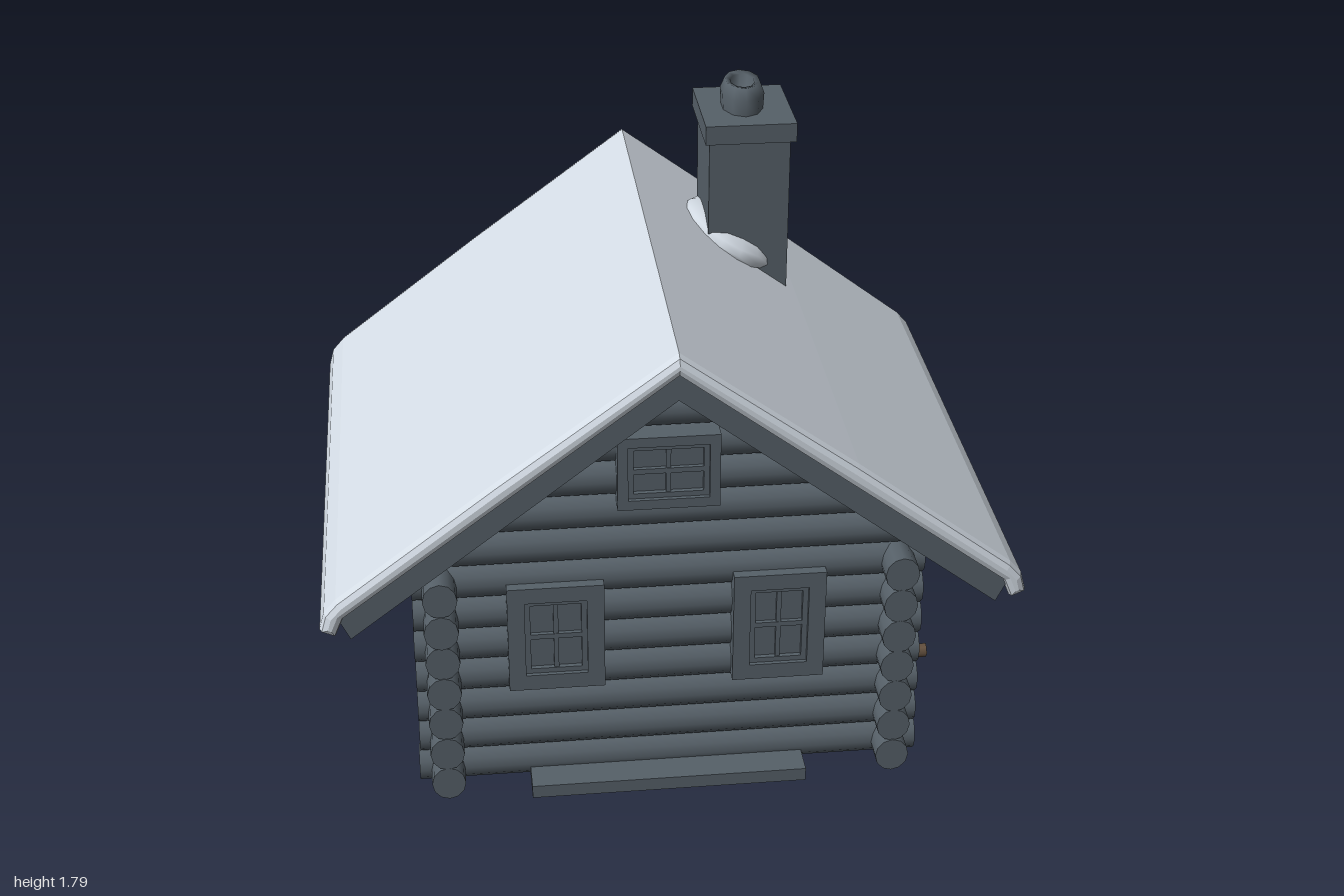
import * as THREE from 'three';

const mat = (name, color, side = THREE.FrontSide) => {
  const m = new THREE.MeshStandardMaterial({ color, side });
  m.name = name;
  return m;
};

export function createModel() {
  const house = new THREE.Group();
  house.name = 'logCabin';
  const timber = mat('slateTimber', 0x566068);
  const snow = mat('snow', 0xd3dbe4);
  const brown = mat('firewoodBrown', 0x64513f);

  let seed = 7;
  const rand = () => (seed = (seed * 16807) % 2147483647) / 2147483647;

  const add = (name, geo, material, parent = house) => {
    const m = new THREE.Mesh(geo, material);
    m.name = name;
    parent.add(m);
    return m;
  };
  const box = (name, material, x0, x1, y0, y1, z0, z1, parent) =>
    add(name, new THREE.BoxGeometry(x1 - x0, y1 - y0, z1 - z0)
      .translate((x0 + x1) / 2, (y0 + y1) / 2, (z0 + z1) / 2), material, parent);
  const shapeOf = pts => new THREE.Shape(pts.map(p => new THREE.Vector2(...p)));
  // Extrude half a profile mirrored in x, running from z0 to z1
  const mirrored = (outer, inner) => shapeOf([
    ...outer, ...inner,
    ...[...inner].reverse().filter(p => p[0] > 0).map(([x, y]) => [-x, y]),
    ...[...outer].reverse().filter(p => p[0] > 0).map(([x, y]) => [-x, y])]);
  const extrude = (shape, z0, z1, bevel = 0) => new THREE.ExtrudeGeometry(shape, {
    depth: z1 - z0 - 2 * bevel, bevelEnabled: bevel > 0, bevelThickness: bevel,
    bevelSize: bevel * 0.7, bevelOffset: -bevel * 0.7, bevelSegments: 2,
  }).translate(0, 0, z0 + bevel);

  // Wall core behind the logs
  const core = mirrored([[0, 1.38], [0.66, 0.88]], [[0.66, 0], [0, 0]]);
  add('wallCore', extrude(core, -0.65, 0.59), timber);

  // Stacked logs; the ends cross at the corners
  const pitch = 0.107, frontZ = 0.59, backZ = -0.65, sideX = 0.665;
  const logs = new THREE.Group();
  logs.name = 'logWalls';
  house.add(logs);
  const log = (name, length) => add(name,
    new THREE.CylinderGeometry(1, 1, length, 12).scale(0.056, 1, 0.05), timber, logs);
  for (let i = 0; i < 12; i++) {
    const y = 0.056 + i * pitch;
    const half = i < 7 ? 0.75 : (1.4 - y) / 0.77;
    for (const z of [frontZ, backZ]) {
      const l = log(z > 0 ? 'frontLog' : 'backLog', half * 2 - rand() * 0.012);
      l.rotation.z = Math.PI / 2;
      l.position.set(0, y, z);
    }
    if (i > 6) continue;
    for (const s of [-1, 1]) {
      const l = log('sideLog', 1.44 - rand() * 0.015);
      l.rotation.set(Math.PI / 2, 0, Math.PI / 2, 'YXZ');
      l.geometry.rotateY(Math.PI / 2);
      l.rotation.set(Math.PI / 2, 0, 0);
      l.geometry.rotateY(-Math.PI / 2);
      l.geometry.scale(0.05 / 0.056, 1, 0.056 / 0.05);
      l.position.set(s * sideX, y, -0.01);
    }
  }

  // Roof boards and the snow lying on them
  const boards = mirrored([[0, 1.46], [0.95, 0.73]], [[0.915, 0.655], [0, 1.36]]);
  add('roofBoards', extrude(boards, -0.805, 0.8), timber);
  const cover = mirrored(
    [[0, 1.5], [0.5, 1.13], [0.95, 0.785], [0.985, 0.745], [1, 0.69]],
    [[0.955, 0.67], [0.93, 0.73], [0, 1.435]]);
  add('roofSnow', extrude(cover, -0.828, 0.822, 0.03), snow);

  // Small icicles along both eaves
  for (const s of [-1, 1]) for (let i = 0; i < 12; i++) {
    const h = 0.025 + rand() * 0.03;
    const c = add('icicle', new THREE.ConeGeometry(0.014, h, 5).rotateX(Math.PI), snow);
    c.position.set(s * 0.97, 0.682 - h / 2 + 0.01, -0.76 + i * 0.138 + rand() * 0.03);
  }

  // Chimney with slab cap, hollow pot and a snow mound at its foot
  box('chimneyStack', timber, 0.22, 0.47, 1.1, 1.66, -0.575, -0.29);
  box('chimneyCap', timber, 0.205, 0.485, 1.65, 1.71, -0.6, -0.265);
  const potProfile = [[0.95, 1.7], [1, 1.76], [0.8, 1.795], [0.55, 1.79], [0.5, 1.73], [0, 1.73]];
  const pot = add('chimneyPot', new THREE.LatheGeometry(
    potProfile.map(p => new THREE.Vector2(...p)), 10).scale(0.068, 1, 0.105), timber);
  pot.position.set(0.338, 0, -0.435);
  const mound = add('chimneySnow', new THREE.SphereGeometry(1, 16, 10).scale(0.17, 0.065, 0.19), snow);
  mound.position.set(0.31, 1.285, -0.43);
  mound.rotation.z = -0.5;

  // Windows: frame with hole, sash, pane and glazing bars, facing +z
  const rectPts = (w, h) => [[-w, -h], [w, -h], [w, h], [-w, h]];
  const ring = (w, h, b, z0, z1) => {
    const s = shapeOf(rectPts(w / 2, h / 2));
    s.holes.push(shapeOf(rectPts(w / 2 - b, h / 2 - b).reverse()));
    return extrude(s, z0, z1);
  };
  const addWindow = (name, w, h, border, x, y, z, turn = 0) => {
    const g = new THREE.Group();
    g.name = name;
    const iw = w - 2 * border, ih = h - 2 * border;
    add('windowFrame', ring(w, h, border, -0.03, 0.03), timber, g);
    add('windowSash', ring(iw, ih, 0.016, -0.03, 0.018), timber, g);
    box('windowPane', timber, -iw / 2, iw / 2, -ih / 2, ih / 2, -0.002, 0.004, g);
    box('glazingBarUpright', timber, -0.007, 0.007, -ih / 2, ih / 2, 0, 0.014, g);
    box('glazingBarLevel', timber, -iw / 2, iw / 2, -0.008, 0.008, 0, 0.016, g);
    g.position.set(x, y, z);
    g.rotation.y = turn;
    house.add(g);
  };
  addWindow('frontWindowA', 0.28, 0.35, 0.05, -0.335, 0.525, 0.64);
  addWindow('frontWindowB', 0.27, 0.36, 0.05, 0.315, 0.52, 0.64);
  addWindow('gableWindow', 0.29, 0.23, 0.03, -0.01, 1.06, 0.64);
  addWindow('leftWindow', 0.5, 0.31, 0.05, 0.715, 0.51, 0.01, Math.PI / 2);
  addWindow('rightWindow', 0.5, 0.31, 0.05, -0.715, 0.51, 0.01, -Math.PI / 2);

  // Front step
  box('frontStep', timber, -0.42, 0.4, 0, 0.042, 0.6, 0.73);

  // Firewood: a rough heap with split log ends poking out
  const heap = [[-0.36, 0], [-0.35, 0.16], [-0.27, 0.23], [-0.16, 0.25], [-0.1, 0.31], [0.02, 0.325],
    [0.12, 0.31], [0.2, 0.335], [0.34, 0.34], [0.46, 0.29], [0.49, 0.2], [0.51, 0.14], [0.5, 0]];
  add('firewoodHeap', extrude(shapeOf([...heap].reverse()), 0.68, 0.81)
    .rotateY(Math.PI / 2), brown);
  for (let row = 0; row < 3; row++) for (let i = 0; i < 7 - row; i++) {
    const z = 0.27 - i * 0.115 - row * 0.07;
    const l = add('firewoodLog', new THREE.CylinderGeometry(0.05, 0.053, 0.1, 6)
      .toNonIndexed().rotateZ(Math.PI / 2), brown);
    l.geometry.computeVertexNormals();
    l.rotation.x = rand() * 3;
    l.position.set(0.767 + rand() * 0.018, 0.06 + row * 0.095, z);
  }
  const stray = add('strayLog', new THREE.CylinderGeometry(0.022, 0.022, 0.12, 7)
    .rotateZ(Math.PI / 2), brown);
  stray.position.set(0.785, 0.16, 0.325);

  return house;
}
